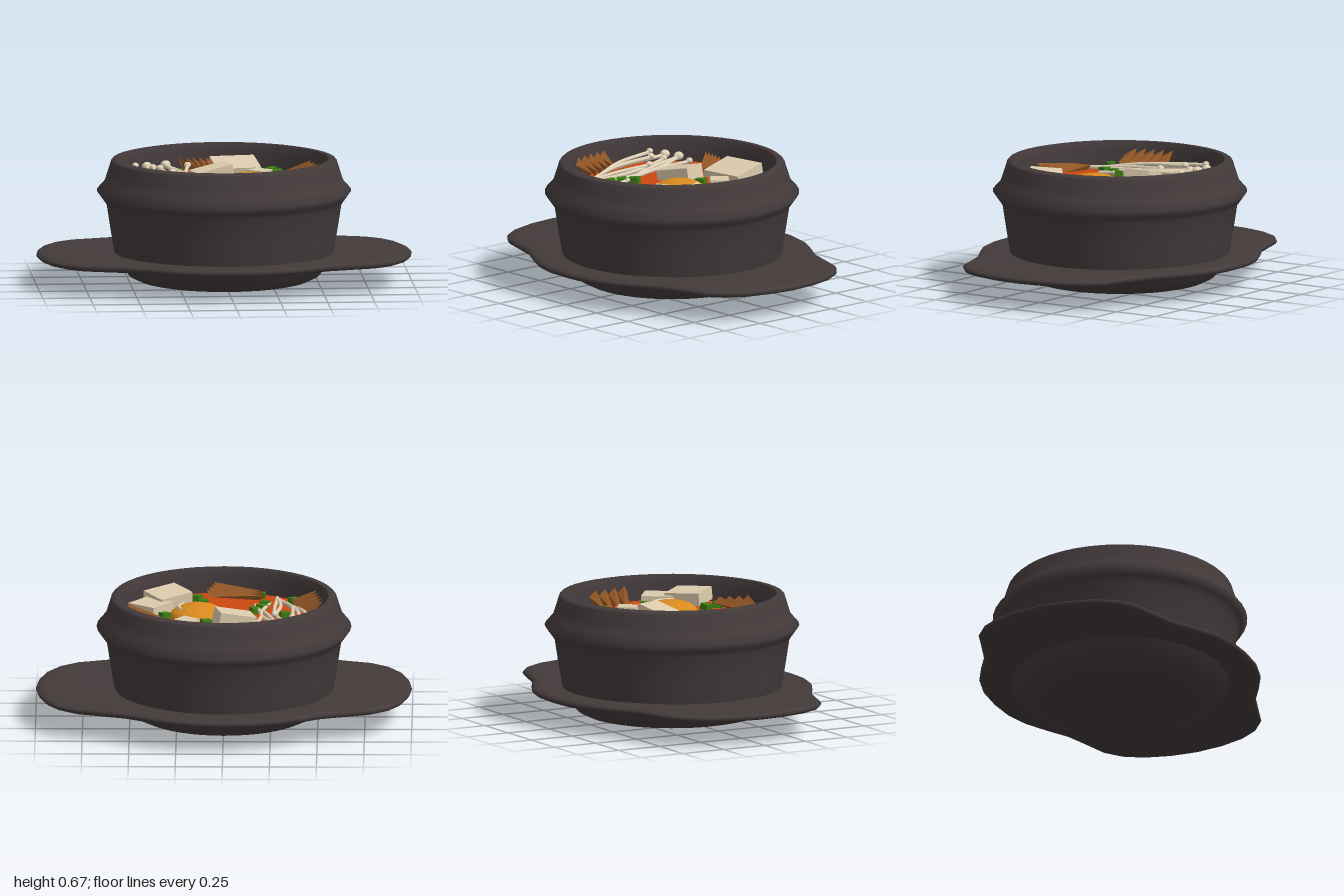
import * as THREE from 'three';

const mat = (name, color, extra = {}) => {
  const m = new THREE.MeshStandardMaterial({ color, ...extra });
  m.name = name;
  return m;
};

export function createModel() {
  const clay = mat('dark stoneware', 0x433a3a);
  const brothMat = mat('red broth', 0xcb470f);
  const yolkMat = mat('egg yolk', 0xd98a1e);
  const tofuMat = mat('tofu cream', 0xdccbac);
  const enokiMat = mat('mushroom white', 0xe2d3b8);
  const greenMat = mat('scallion green', 0x3c7d14);
  const brownMat = mat('kimchi brown', 0x8f5424, { side: THREE.DoubleSide, flatShading: true });
  const root = new THREE.Group();
  root.name = 'hotPotStew';
  const LEVEL = 0.54;

  const add = (name, geo, material, parent = root) => {
    const m = new THREE.Mesh(geo, material);
    m.name = name;
    parent.add(m);
    return m;
  };
  const group = (name) => {
    const g = new THREE.Group();
    g.name = name;
    root.add(g);
    return g;
  };
  const v2 = (a) => a.map(([x, y]) => new THREE.Vector2(x, y));

  // Pot: outside wall, ridge, rim and inside wall in one profile
  add('pot', new THREE.LatheGeometry(v2([
    [0, 0.004], [0.2, 0.008], [0.42, 0.016], [0.455, 0.024], [0.505, 0.048], [0.575, 0.125],
    [0.585, 0.18], [0.605, 0.3], [0.625, 0.43], [0.65, 0.465], [0.677, 0.503], [0.635, 0.55],
    [0.617, 0.605], [0.6, 0.66], [0.592, 0.668], [0.56, 0.675], [0.552, 0.667],
    [0.537, 0.62], [0.53, 0.53]]), 48), clay);

  // Broth surface
  const broth = add('broth', new THREE.CircleGeometry(0.535, 48), brothMat);
  broth.rotation.x = -Math.PI / 2;
  broth.position.y = LEVEL;

  // Tray: one quarter of the outline mirrored, then lofted into a rounded slab
  const quarter = [[1, 0], [0.985, 0.15], [0.945, 0.29], [0.885, 0.39], [0.8, 0.46], [0.665, 0.505],
    [0.535, 0.55], [0.42, 0.62], [0.29, 0.69], [0.15, 0.73], [0, 0.74]];
  const half = [...quarter, ...quarter.slice(0, -1).reverse().map(([x, z]) => [-x, z])];
  const outline = [...half, ...half.slice(1, -1).reverse().map(([x, z]) => [x, -z])];
  const rings = [[0.55, 0.173], [0.94, 0.178], [0.975, 0.176], [0.994, 0.168], [1, 0.158],
    [0.99, 0.145], [0.965, 0.138], [0.92, 0.135], [0.55, 0.135]];
  const pos = [], idx = [], n = outline.length;
  rings.forEach(([s, y], i) => outline.forEach(([x, z], j) => {
    pos.push(x * s, y, z * s);
    if (i < rings.length - 1) {
      const a = i * n + j, b = i * n + (j + 1) % n;
      idx.push(a, b, a + n, b, b + n, a + n);
    }
  }));
  const tray = new THREE.BufferGeometry();
  tray.setAttribute('position', new THREE.Float32BufferAttribute(pos, 3));
  tray.setIndex(idx);
  tray.computeVertexNormals();
  add('tray', tray, clay);

  // Egg yolk with a small pale glint
  const yolk = add('eggYolk', new THREE.SphereGeometry(0.147, 32, 16), yolkMat);
  yolk.scale.y = 0.45;
  yolk.position.set(0.14, LEVEL, 0.07);
  const glintPath = [-0.65, -0.2, 0.25, 0.7].map((a) => {
    const r = 0.1;
    return new THREE.Vector3(0.14 + r * Math.cos(a), LEVEL + 0.45 * Math.sqrt(0.147 ** 2 - r * r), 0.07 + r * Math.sin(a));
  });
  add('yolkGlint', new THREE.TubeGeometry(new THREE.CatmullRomCurve3(glintPath), 12, 0.009, 6), enokiMat);

  // Tofu blocks: x, height above broth, z, size, rotation
  const tofu = group('tofu');
  [[0.085, 0.02, -0.36, 0.24, 0.08, 0.2, 0.2, 0.15, 0],
    [-0.055, 0.025, -0.105, 0.2, 0.09, 0.14, 0, 0.26, 0.2],
    [0.2, 0.015, -0.16, 0.1, 0.06, 0.1, 0, 0.9, 0],
    [0.39, 0.02, 0.14, 0.17, 0.07, 0.17, 0, -0.65, 0],
    [0.3, 0.045, 0.27, 0.2, 0.07, 0.17, -0.08, 0.63, -0.06],
  ].forEach(([x, y, z, w, h, d, rx, ry, rz]) => {
    const b = add('tofuBlock', new THREE.BoxGeometry(w, h, d), tofuMat, tofu);
    b.position.set(x, LEVEL + y, z);
    b.rotation.set(rx, ry, rz, 'YXZ');
  });

  // Enoki mushrooms: cap x, z; bend x, z; foot x, z; cap radius
  const enoki = group('enokiMushrooms');
  [[-0.39, -0.29, -0.39, 0.06, -0.29, 0.36, 0.027],
    [-0.29, -0.3, -0.2, -0.05, -0.24, 0.3, 0.027],
    [-0.455, -0.24, -0.42, 0.02, -0.34, 0.24, 0.018],
    [-0.325, -0.225, -0.27, 0, -0.28, 0.4, 0.019],
    [-0.175, -0.275, -0.2, -0.05, -0.165, 0.25, 0.019],
    [-0.365, -0.17, -0.36, 0.1, -0.3, 0.33, 0.019],
    [-0.27, -0.075, -0.3, 0.15, -0.28, 0.39, 0.019],
    [-0.29, -0.29, -0.22, 0.0, -0.2, 0.14, 0.02],
  ].forEach(([cx, cz, bx, bz, fx, fz, r], i) => {
    const lift = LEVEL + 0.03 + 0.006 * (i % 3);
    const path = new THREE.CatmullRomCurve3([
      new THREE.Vector3(cx, lift + 0.015, cz), new THREE.Vector3(bx, lift, bz),
      new THREE.Vector3(fx, LEVEL + 0.008, fz)]);
    add('enokiStalk', new THREE.TubeGeometry(path, 14, 0.0105, 7), enokiMat, enoki);
    const cap = add('enokiCap', new THREE.SphereGeometry(r, 12, 8), enokiMat, enoki);
    cap.position.set(cx, lift + 0.02, cz);
    cap.scale.y = 0.85;
  });

  // Kimchi: pleated strips between two rails, each rail x, z to x, z with a height
  const kimchi = group('kimchi');
  const pleats = (a, b, ha, hb, folds) => {
    const p = [], f = [], count = folds * 2;
    for (let i = 0; i <= count; i++) {
      const t = i / count, up = i % 2 ? 0.028 : 0;
      [[a, ha], [b, hb]].forEach(([r, h], k) => {
        const jag = (i % 2 ? 0.012 : -0.012) * (k ? 1 : -1);
        p.push(r[0] + (r[2] - r[0]) * t + jag, LEVEL + h + up, r[1] + (r[3] - r[1]) * t + jag);
      });
      if (i < count) f.push(2 * i, 2 * i + 1, 2 * i + 2, 2 * i + 1, 2 * i + 3, 2 * i + 2);
    }
    const g = new THREE.BufferGeometry();
    g.setAttribute('position', new THREE.Float32BufferAttribute(p, 3));
    g.setIndex(f);
    g.computeVertexNormals();
    add('kimchiPiece', g, brownMat, kimchi);
  };
  pleats([-0.22, -0.42, -0.04, -0.38], [-0.17, -0.36, -0.055, -0.23], 0.05, 0.005, 5);
  pleats([0.38, -0.25, 0.3, -0.09], [0.46, -0.24, 0.51, 0.02], 0.005, 0.06, 4);
  pleats([-0.52, 0.01, -0.475, 0.27], [-0.43, 0.02, -0.36, 0.27], 0.07, 0.01, 5);
  pleats([-0.2, 0.33, -0.19, 0.45], [0.09, 0.31, 0.04, 0.51], 0.01, 0.04, 4);

  // Chopped scallion: x, z, turn
  const scallions = group('scallions');
  [[-0.135, -0.21, 0.5], [-0.225, -0.27, 1.1], [0.095, -0.12, 0.4], [0.275, -0.325, 0.8],
    [0.3, -0.245, 0.3], [0.315, 0.015, 0.7], [-0.165, 0.12, 0.5], [-0.215, 0.25, 1.2],
    [-0.37, 0.315, 0.7], [-0.19, 0.425, 0.1], [0.115, 0.275, 0.2], [0.145, 0.36, 1.2],
    [-0.325, 0.03, 0.3], [-0.2, 0.18, 0.9],
  ].forEach(([x, z, turn]) => {
    const s = add('scallionPiece', new THREE.BoxGeometry(0.053, 0.04, 0.042), greenMat, scallions);
    s.position.set(x, LEVEL + 0.012, z);
    s.rotation.set(0, turn, 0.1);
  });

  return root;
}
